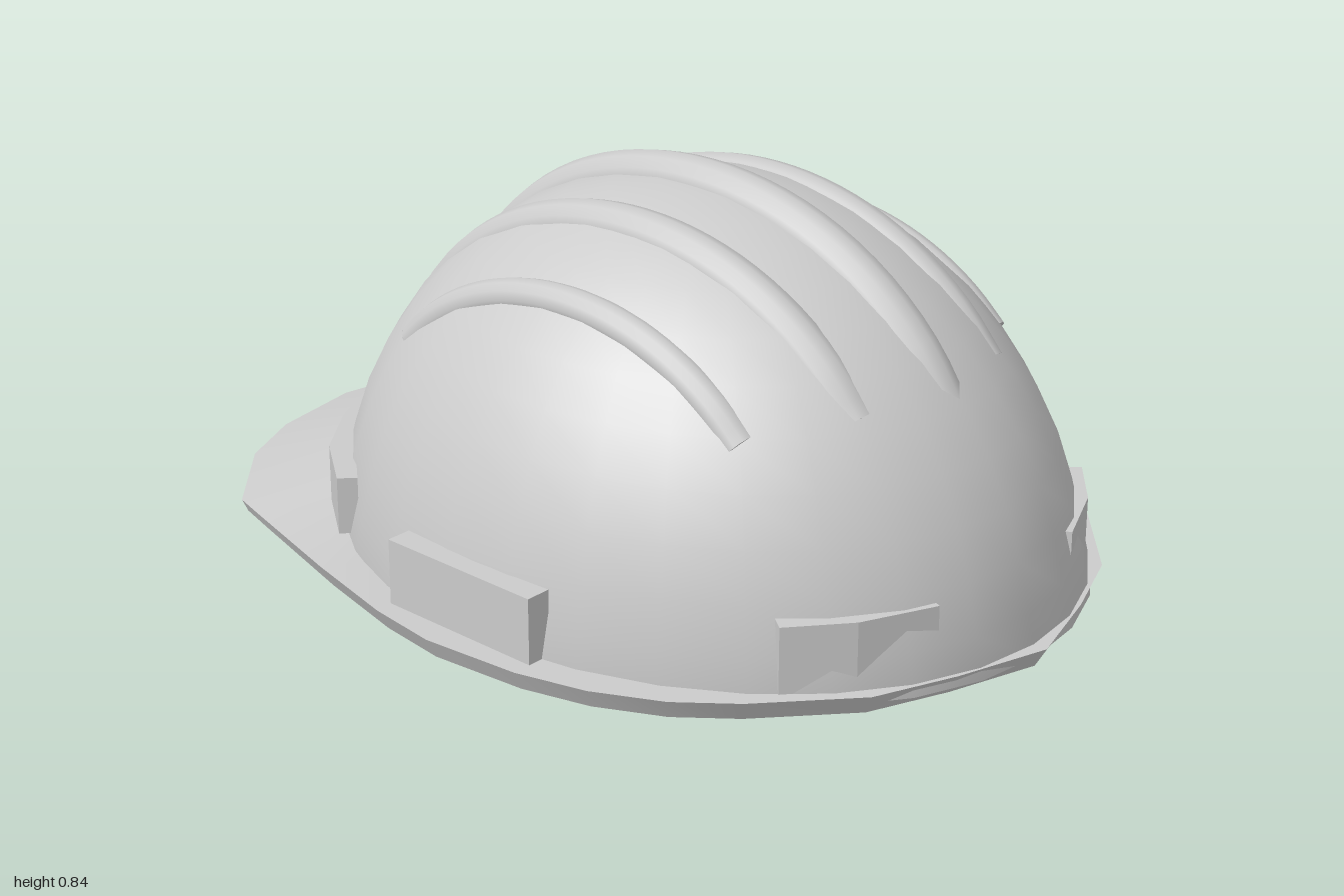
import * as THREE from 'three';
import { toCreasedNormals, mergeGeometries } from 'three/addons/utils/BufferGeometryUtils.js';

const CX = 0.125, RX = 0.83, RY = 0.8, RZ = 0.69; // shell ellipsoid
const material = new THREE.MeshStandardMaterial({ color: 0xcccccc, side: THREE.DoubleSide });

function add(group, name, geometry) {
  const mesh = new THREE.Mesh(geometry, material);
  mesh.name = name;
  group.add(mesh);
  return mesh;
}

// Half ellipsoid with a slight flare at the bottom
function shellGeometry() {
  const g = new THREE.SphereGeometry(1, 30, 12, 0, Math.PI * 2, 0, Math.PI / 2);
  g.scale(RX, RY, RZ);
  const p = g.attributes.position;
  for (let i = 0; i < p.count; i++) {
    const y = p.getY(i);
    const flare = 1 + 0.025 * Math.max(0, 1 - y / 0.15);
    p.setXYZ(i, p.getX(i) * flare, Math.max(y, 0.02), p.getZ(i) * flare);
  }
  g.translate(CX, 0, 0);
  return g;
}

// Brim and visor: one cross-section per outline point, joined in a ring
function brimGeometry() {
  const half = [[-1, 0], [-0.96, 0.22], [-0.88, 0.38], [-0.7, 0.57], [-0.61, 0.6], [-0.3, 0.7],
    [-0.07, 0.755], [0.09, 0.775], [0.31, 0.755], [0.46, 0.715], [0.6, 0.645], [0.71, 0.555],
    [0.87, 0.375], [0.94, 0.2], [1, 0]];
  const outline = [...half, ...half.slice(1, -1).reverse().map(([x, z]) => [x, -z])];
  const rings = outline.map(([x, z]) => {
    const front = THREE.MathUtils.clamp((-x - 0.3) / 0.7, 0, 1);
    const dx = x - CX;
    const k = 1 / Math.hypot(dx / RX, z / RZ); // reaches the shell wall
    const inset = 1 - 0.03 * (1 - front);
    const inner = [CX + dx * k, 0.045 + 0.045 * front, z * k];
    const t = Math.min(1, Math.abs(z) / 0.6);
    // under the visor the inner edge is a blunt V
    const under = x < -0.5
      ? [-0.69 + 0.29 * t, 0.065, Math.sign(z) * 0.53 * t]
      : [CX + dx * k, 0.02, z * k];
    return [inner, [x, 0.045 - 0.035 * front, z], [CX + dx * inset, 0, z * inset], under];
  });
  const pos = [];
  rings.forEach((a, i) => {
    const b = rings[(i + 1) % rings.length];
    for (let j = 0; j < 3; j++) {
      pos.push(...a[j], ...a[j + 1], ...b[j + 1], ...a[j], ...b[j + 1], ...b[j]);
    }
  });
  const g = new THREE.BufferGeometry();
  g.setAttribute('position', new THREE.Float32BufferAttribute(pos, 3));
  return toCreasedNormals(g, 0.5);
}

// Round rib following the shell at a given z, sinking inwards at its ends
function ribGeometry(z, radius, x0, x1, sink) {
  const s = Math.sqrt(1 - (z / RZ) ** 2);
  const angle = x => Math.acos((x - CX) / (RX * s));
  const a0 = angle(x0), a1 = angle(x1);
  const points = [];
  for (let i = 0; i <= 12; i++) {
    const t = i / 12, a = a0 + (a1 - a0) * t;
    const depth = sink + (radius * 1.05 - sink) * Math.abs(2 * t - 1) ** 3;
    points.push(new THREE.Vector3(CX + (RX * s - depth) * Math.cos(a), (RY * s - depth) * Math.sin(a), z));
  }
  const curve = new THREE.CatmullRomCurve3(points);
  const caps = [0, 1].map(u => {
    const cap = new THREE.CircleGeometry(radius, 12);
    const dir = curve.getTangent(u).multiplyScalar(u ? 1 : -1);
    cap.applyQuaternion(new THREE.Quaternion().setFromUnitVectors(new THREE.Vector3(0, 0, 1), dir));
    const c = curve.getPoint(u);
    return cap.translate(c.x, c.y, c.z);
  });
  return mergeGeometries([new THREE.TubeGeometry(curve, 32, radius, 12), ...caps]);
}

// Upright block from a plan outline of [x, z] points
function padGeometry(plan, side, y0, y1) {
  const shape = new THREE.Shape(plan.map(([x, z]) => new THREE.Vector2(x, -z * side)));
  const g = new THREE.ExtrudeGeometry(shape, { depth: y1 - y0, bevelEnabled: false });
  return g.rotateX(-Math.PI / 2).translate(0, y0, 0);
}

export function createModel() {
  const group = new THREE.Group();
  group.name = 'safetyHelmet';
  add(group, 'shell', shellGeometry());
  add(group, 'brimAndVisor', brimGeometry());

  // Five ribs over the crown
  add(group, 'centreRib', ribGeometry(0, 0.054, -0.53, 0.78, 0.015));
  for (const side of [1, -1]) {
    add(group, 'innerRib', ribGeometry(side * 0.2, 0.05, -0.46, 0.71, 0.03));
    add(group, 'outerRib', ribGeometry(side * 0.39, 0.037, -0.35, 0.58, 0.025));

    // Blocks around the base of the shell
    add(group, 'sidePad', padGeometry(
      [[-0.075, 0.715], [0.31, 0.715], [0.31, 0.66], [0.12, 0.67], [-0.075, 0.66]], side, 0.04, 0.185));
    add(group, 'rearPad', padGeometry(
      [[0.735, 0.485], [0.83, 0.37], [0.9, 0.215], [0.865, 0.2], [0.695, 0.455]], side, 0.04, 0.185));
    add(group, 'visorPad', padGeometry(
      [[-0.67, 0.225], [-0.6, 0.36], [-0.5, 0.49], [-0.365, 0.59], [-0.335, 0.56],
        [-0.44, 0.47], [-0.54, 0.35], [-0.625, 0.205]], side, 0.06, 0.185));
  }
  return group;
}
